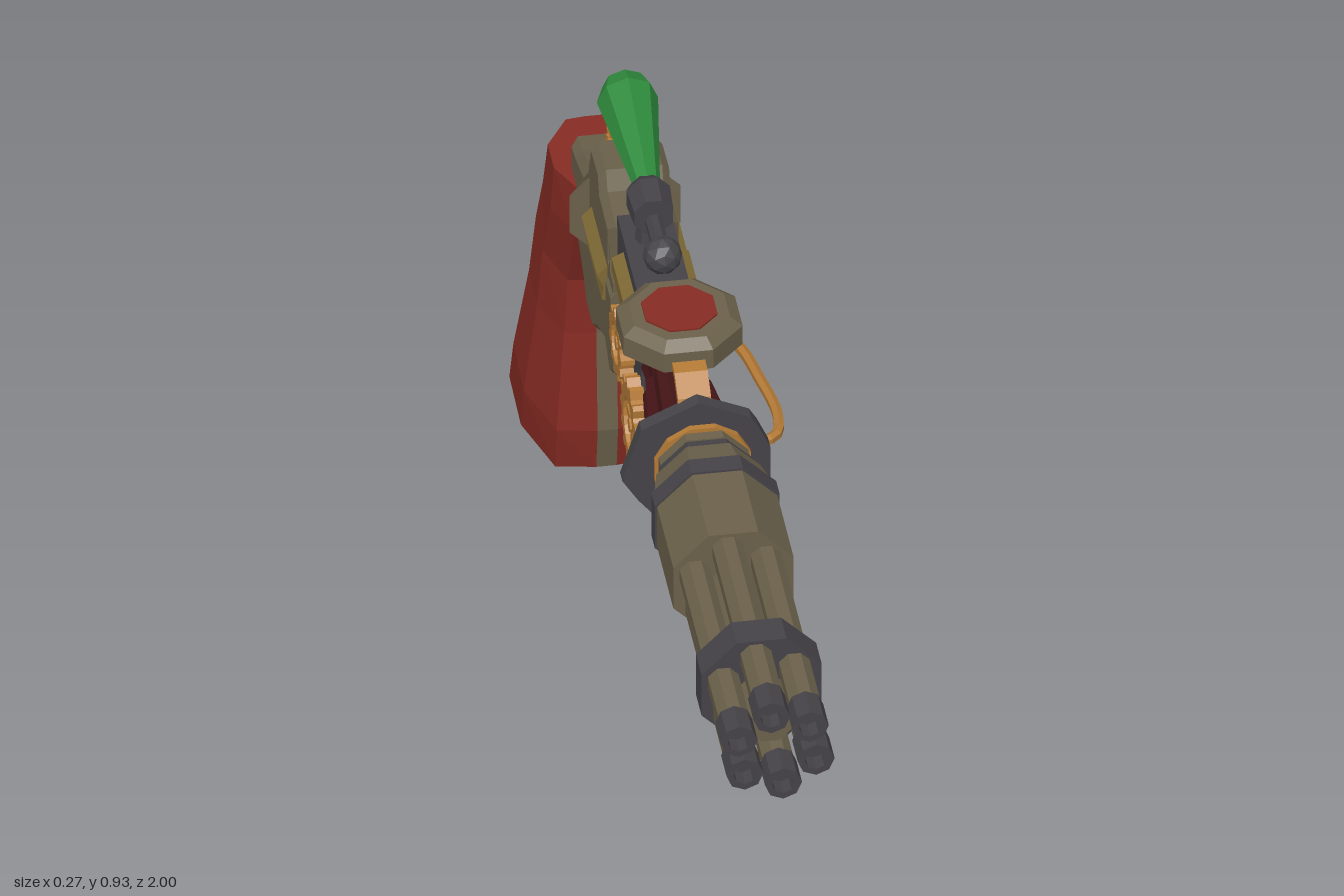
import * as THREE from 'three';

const mat = (name, color, side = THREE.FrontSide) => {
  const m = new THREE.MeshStandardMaterial({ color, side });
  m.name = name;
  return m;
};

export function createModel() {
  const olive = mat('olive metal', 0x6b614b);
  const dark = mat('dark steel', 0x454347);
  const red = mat('red grip', 0x862b23);
  const maroon = mat('maroon coil', 0x451517);
  const brass = mat('brass', 0xb47a36);
  const gold = mat('dull gold', 0x7f6a35);
  const green = mat('green glass', 0x2f8a3c);

  const root = new THREE.Group();
  root.name = 'revolver';
  const body = new THREE.Group();
  body.name = 'body';
  body.position.x = -0.018;
  root.add(body);

  // Faceted mesh
  const add = (name, geo, material, x = 0, y = 0, z = 0) => {
    const g = geo.index ? geo.toNonIndexed() : geo;
    g.computeVertexNormals();
    const m = new THREE.Mesh(g, material);
    m.name = name;
    m.position.set(x, y, z);
    body.add(m);
    return m;
  };
  // Cylinder along z, from z0 (radius r0) forward to z1 (radius r1)
  const rod = (name, material, z0, z1, r0, r1, y, x = 0, sides = 8, flute = 1) => {
    const g = new THREE.CylinderGeometry(r1, r0, z1 - z0, sides);
    const p = g.attributes.position;
    if (flute !== 1) {
      for (let i = 0; i < p.count; i++) {
        const k = Math.round(Math.atan2(p.getX(i), p.getZ(i)) / (2 * Math.PI) * sides);
        if (k & 1) p.setXYZ(i, p.getX(i) * flute, p.getY(i), p.getZ(i) * flute);
      }
    }
    g.rotateY(Math.PI / sides).rotateX(Math.PI / 2);
    return add(name, g, material, x, y, (z0 + z1) / 2);
  };
  // Side profile in (z, y), extruded across x with optional chamfer
  const slab = (name, material, pts, half, hole, bevel = 0, x = 0) => {
    const s = new THREE.Shape(pts.map(p => new THREE.Vector2(...p)));
    if (hole) s.holes.push(new THREE.Path(hole.map(p => new THREE.Vector2(...p))));
    const depth = 2 * (half - bevel);
    const g = new THREE.ExtrudeGeometry(s, {
      depth, bevelEnabled: bevel > 0, bevelSize: bevel, bevelOffset: -bevel,
      bevelThickness: bevel, bevelSegments: 1, curveSegments: 8 });
    g.translate(0, 0, -depth / 2).rotateY(-Math.PI / 2);
    return add(name, g, material, x);
  };
  const pipe = (name, material, pts, r, n = 24) => add(name, new THREE.TubeGeometry(
    new THREE.CatmullRomCurve3(pts.map(p => new THREE.Vector3(...p))), n, r, 6), material);

  // Six barrels with bored dark muzzles
  const bx = 0.008, by = 0.69;
  for (let i = 0; i < 6; i++) {
    const a = (38 + i * 60) * Math.PI / 180;
    const x = bx + 0.065 * Math.cos(a), y = by + 0.065 * Math.sin(a);
    rod('barrel', olive, 0.5, 0.95, 0.026, 0.026, y, x);
    const muzzle = [[0, 0.97], [0.018, 0.97], [0.018, 1], [0.029, 1], [0.029, 0.945], [0.02, 0.945]]
      .reverse().map(p => new THREE.Vector2(...p));
    add('muzzle', new THREE.LatheGeometry(muzzle, 8).rotateX(Math.PI / 2), dark, x, y);
  }
  rod('barrelCore', olive, 0.5, 0.93, 0.035, 0.035, by, bx);
  rod('frontBand', dark, 0.785, 0.84, 0.102, 0.102, by, bx);
  rod('barrelJacket', olive, 0.36, 0.56, 0.102, 0.102, by, bx);
  rod('jacketTaper', olive, 0.31, 0.36, 0.088, 0.1, by, bx);
  rod('rearBand', dark, 0.365, 0.4, 0.106, 0.106, by, bx);
  rod('neck', olive, 0.23, 0.31, 0.06, 0.06, by, bx);
  rod('neckRing', dark, 0.288, 0.312, 0.08, 0.084, by, bx);
  rod('neckRing', olive, 0.262, 0.28, 0.076, 0.076, by, bx);
  rod('neckSeal', brass, 0.248, 0.26, 0.078, 0.078, by, bx, 12);

  // Mounting plate behind the barrels
  const plate = new THREE.Shape([[0.003, 0.807], [0.085, 0.77], [0.097, 0.75], [0.115, 0.71], [0.115, 0.65],
    [0.088, 0.53], [0.072, 0.51], [-0.012, 0.53], [-0.092, 0.63], [-0.117, 0.67], [-0.087, 0.765]]
    .reverse().map(p => new THREE.Vector2(...p)));
  add('mountPlate', new THREE.ExtrudeGeometry(plate, { depth: 0.024, bevelEnabled: false }), dark, 0, 0, 0.225);

  // Fluted coil housing and shaft
  rod('coilHousing', maroon, 0.05, 0.235, 0.054, 0.076, by, 0, 24, 0.86);
  rod('coilShaft', brass, -0.05, 0.06, 0.02, 0.02, by);
  rod('coilCollar', maroon, -0.022, 0.03, 0.046, 0.042, by, 0, 16, 0.88);
  add('collarBracket', new THREE.BoxGeometry(0.05, 0.1, 0.03), brass, 0, 0.62, 0.005);

  // Guide rod with spring
  rod('guideRod', brass, -0.22, 0.26, 0.011, 0.011, 0.557, 0.045);
  rod('guideRodCap', brass, 0.245, 0.28, 0.016, 0.016, 0.557, 0.045);
  rod('springCore', gold, -0.02, 0.225, 0.02, 0.02, 0.557, 0.045);
  for (let i = 0; i < 8; i++)
    add('springCoil', new THREE.TorusGeometry(0.022, 0.011, 5, 10), gold, 0.045, 0.557, 0.21 - i * 0.031);
  add('lowerRail', new THREE.BoxGeometry(0.07, 0.022, 0.19), brass, 0, 0.56, -0.13);

  // Side gears
  const gear = (r, teeth, y, z, x) => {
    const s = new THREE.Shape();
    for (let i = 0; i < teeth * 4; i++) {
      const a = i / (teeth * 4) * Math.PI * 2, q = i % 4 < 2 ? r : r * 0.84;
      s[i ? 'lineTo' : 'moveTo'](q * Math.cos(a), q * Math.sin(a));
    }
    s.holes.push(new THREE.Path().absarc(0, 0, r * 0.58, 0, Math.PI * 2, true));
    const g = new THREE.ExtrudeGeometry(s, { depth: 0.022, bevelEnabled: false, curveSegments: 10 });
    add('gear', g.translate(0, 0, -0.011).rotateY(-Math.PI / 2), brass, x, y, z);
    for (let i = 0; i < 2; i++)
      add('gearSpoke', new THREE.BoxGeometry(0.012, r * 1.25, 0.014).rotateX(i * Math.PI / 2), brass, x, y, z);
    add('gearAxle', new THREE.CylinderGeometry(0.012, 0.012, 0.07, 8).rotateZ(Math.PI / 2), brass, x + 0.025, y, z);
  };
  gear(0.08, 14, 0.6, 0.015, -0.06);
  gear(0.06, 11, 0.67, -0.105, -0.062);

  // Dark forward frame with slot
  slab('forwardFrame', dark, [[-0.035, 0.57], [-0.22, 0.57], [-0.225, 0.705], [-0.278, 0.705], [-0.278, 0.785],
    [-0.06, 0.785], [-0.035, 0.765]], 0.042,
  [[-0.125, 0.62], [-0.125, 0.67], [-0.14, 0.685], [-0.213, 0.68], [-0.213, 0.61], [-0.14, 0.61]]);
  const breech = rod('goldBreech', gold, -0.215, -0.085, 0.032, 0.032, 0.74);
  breech.scale.x = 2.05;

  // Main frame with cylinder window
  slab('mainFrame', olive, [[-0.22, 0.70], [-0.275, 0.705], [-0.275, 0.765], [-0.36, 0.77], [-0.375, 0.802],
    [-0.457, 0.797], [-0.485, 0.73], [-0.53, 0.688], [-0.605, 0.668], [-0.655, 0.66], [-0.655, 0.6], [-0.59, 0.515],
    [-0.53, 0.48], [-0.50, 0.45], [-0.435, 0.447], [-0.38, 0.485], [-0.31, 0.515], [-0.265, 0.485], [-0.22, 0.515]],
  0.056, [[-0.282, 0.565], [-0.282, 0.74], [-0.46, 0.74], [-0.46, 0.565]], 0.012);
  rod('recoilShield', olive, -0.515, -0.465, 0.062, 0.094, 0.655);
  rod('frontCollar', olive, -0.275, -0.225, 0.066, 0.066, 0.64);
  rod('revolvingCylinder', gold, -0.442, -0.287, 0.076, 0.076, 0.654, 0.003, 20, 0.86);
  rod('cylinderPin', olive, -0.47, -0.275, 0.02, 0.02, 0.654);

  // Trigger and guard
  pipe('triggerGuard', brass, [[0, 0.5, -0.265], [0, 0.45, -0.272], [0, 0.395, -0.33], [0, 0.374, -0.4],
    [0, 0.393, -0.475], [0, 0.44, -0.52], [0, 0.485, -0.522]], 0.008, 20);
  slab('trigger', olive, [[-0.36, 0.5], [-0.385, 0.46], [-0.38, 0.43], [-0.36, 0.408], [-0.378, 0.408],
    [-0.398, 0.435], [-0.405, 0.5]], 0.009);

  // Beaded hammer rings
  for (const [y, z, r] of [[0.722, -0.55, 0.027], [0.69, -0.575, 0.016]]) {
    add('hammerRing', new THREE.TorusGeometry(r, 0.007, 5, 14).rotateY(Math.PI / 2), brass, 0, y, z);
    for (let i = 0; i < 10; i++) {
      const a = i * Math.PI / 5;
      add('ringBead', new THREE.BoxGeometry(0.02, 0.009, 0.009), brass, 0, y + r * 1.2 * Math.sin(a), z + r * 1.2 * Math.cos(a));
    }
  }

  // Octagonal gauge on brass brackets
  const oct = (name, m, r0, r1, y0, y1) => add(name,
    new THREE.CylinderGeometry(r1, r0, y1 - y0, 8).rotateY(Math.PI / 8), m, 0, (y0 + y1) / 2, 0.073);
  oct('gaugeBase', olive, 0.101, 0.101, 0.81, 0.845);
  oct('gaugeRim', olive, 0.101, 0.081, 0.845, 0.859);
  oct('gaugeFace', red, 0.061, 0.061, 0.857, 0.862);
  slab('frontBracket', brass, [[0.15, 0.83], [0.19, 0.825], [0.225, 0.8], [0.24, 0.765], [0.226, 0.765],
    [0.212, 0.793], [0.185, 0.813], [0.15, 0.817]], 0.026);
  slab('rearBracket', brass, [[0, 0.83], [-0.03, 0.825], [-0.055, 0.805], [-0.065, 0.78], [-0.05, 0.78],
    [-0.042, 0.798], [-0.025, 0.813], [0, 0.817]], 0.026);

  // Curved side pipe
  pipe('sidePipe', brass, [[0.035, 0.7, -0.1], [0.07, 0.7, -0.085], [0.108, 0.7, -0.03], [0.128, 0.7, 0.06],
    [0.141, 0.7, 0.16], [0.128, 0.7, 0.21], [0.07, 0.7, 0.23]], 0.009);

  // Sight with green flared lens
  add('sightBall', new THREE.IcosahedronGeometry(0.031, 1), dark, 0, 0.84, -0.095);
  rod('sightRod', dark, -0.19, -0.1, 0.014, 0.014, 0.842);
  rod('sightHub', dark, -0.235, -0.18, 0.037, 0.033, 0.85);
  rod('sightHubCap', dark, -0.258, -0.235, 0.024, 0.037, 0.852);
  add('sightPost', new THREE.CylinderGeometry(0.02, 0.026, 0.07, 8), dark, 0, 0.8, -0.215);
  const lens = new THREE.LatheGeometry([[0, -0.112], [0.035, -0.112], [0.048, -0.08], [0.021, 0.112], [0, 0.112]]
    .map(p => new THREE.Vector2(...p)), 8);
  lens.rotateX(Math.PI / 2);
  add('greenLens', lens, green, 0, 0.873, -0.362).rotation.x = 0.13;

  // Grip: [front z, front y, back z, back y, half width] from top to butt
  const rows = [[-0.585, 0.61, -0.77, 0.61, 0.083], [-0.585, 0.52, -0.812, 0.52, 0.086],
    [-0.645, 0.385, -0.85, 0.435, 0.09], [-0.65, 0.28, -0.893, 0.3, 0.096], [-0.636, 0.1, -0.945, 0.145, 0.116],
    [-0.65, 0.02, -0.998, 0.045, 0.116], [-0.76, 0, -0.9, 0, 0.085]];
  const loops = rows.map(([fz, fy, bz, by2, w]) => {
    const half = [[0.016, 0], [0.68 * w, 0.03], [w, 0.33], [w, 0.66], [0.55 * w, 0.98], [0.016, 1]];
    const ring = [[-0.016, 0], ...half, ...half.slice(1).reverse().map(([x, t]) => [-x, t])];
    return ring.map(([x, t]) => [x, fy + (by2 - fy) * t, fz + (bz - fz) * t]);
  });
  const redTris = [], stripeTris = [];
  const quad = (out, a, b, c, d) => out.push(...a, ...b, ...c, ...a, ...c, ...d);
  for (let i = 0; i + 1 < loops.length; i++)
    for (let j = 0; j < 12; j++) {
      const k = (j + 1) % 12, [t, l] = [loops[i], loops[i + 1]];
      quad(j % 6 === 0 ? stripeTris : redTris, t[j], l[j], l[k], t[k]);
    }
  const top = loops[0], low = loops[loops.length - 1];
  for (let j = 1; j < 11; j++) redTris.push(...top[0], ...top[j], ...top[j + 1]);
  quad(stripeTris, low[7], low[6], low[1], low[0]);
  for (const s of [1, 7])
    for (let j = 1; j < 5; j++) redTris.push(...low[s], ...low[(s + j + 1) % 12], ...low[s + j]);
  for (const [name, tris, m] of [['grip', redTris, red], ['gripStripe', stripeTris, olive]]) {
    const g = new THREE.BufferGeometry();
    g.setAttribute('position', new THREE.Float32BufferAttribute(tris, 3));
    add(name, g, m);
  }
  return root;
}
